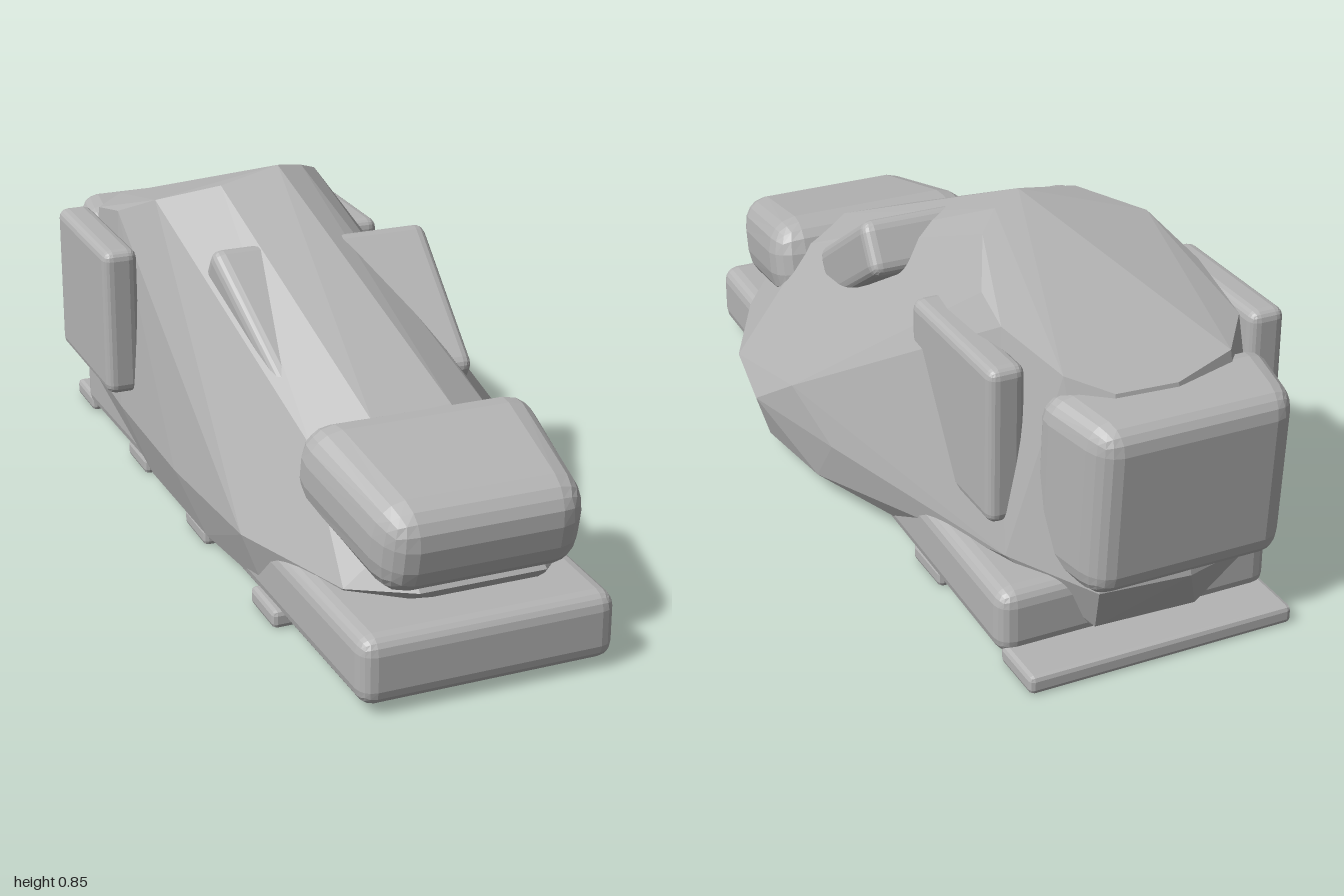
import * as THREE from 'three';
import { RoundedBoxGeometry } from 'three/addons/geometries/RoundedBoxGeometry.js';
import { ConvexGeometry } from 'three/addons/geometries/ConvexGeometry.js';

const grey = new THREE.MeshStandardMaterial({ color: 0xb4b4b4, flatShading: true });
grey.name = 'plain grey';

// Rounded block; taper = x scale at the front (+z) and back (-z) ends
function block(name, size, position, radius, { tilt = 0, front = 1, back = 1, segments = 2 } = {}) {
  const [w, h, d] = size;
  const geometry = new RoundedBoxGeometry(w, h, d, segments, radius);
  const p = geometry.attributes.position;
  for (let i = 0; i < p.count; i++) {
    const t = p.getZ(i) / d + 0.5;
    p.setX(i, p.getX(i) * THREE.MathUtils.lerp(back, front, t));
  }
  geometry.computeVertexNormals();
  const mesh = new THREE.Mesh(geometry, grey);
  mesh.name = name;
  mesh.position.set(...position);
  mesh.rotation.x = tilt;
  return mesh;
}

function createUpper() {
  // Sloping ankle rim
  const collar = [
    [-0.02, 0.85, -0.26], [-0.18, 0.82, -0.24], [-0.32, 0.77, -0.34], [-0.37, 0.70, -0.5],
    [-0.36, 0.65, -0.7], [-0.26, 0.64, -0.83], [-0.1, 0.62, -0.88], [0.05, 0.62, -0.87],
    [0.14, 0.65, -0.8], [0.2, 0.70, -0.62], [0.19, 0.73, -0.5], [0.12, 0.80, -0.36], [0.06, 0.83, -0.3],
  ];
  // Widest outline of the foot
  const girth = [
    [0.17, 0.21, 0.88], [0.3, 0.18, 0.73], [0.42, 0.16, 0.5], [0.465, 0.16, 0.25], [0.43, 0.27, 0.08],
    [0.4, 0.18, -0.1], [0.31, 0.22, -0.45], [0.25, 0.2, -0.75], [0.12, 0.18, -0.95], [-0.1, 0.18, -0.97],
    [-0.28, 0.18, -0.92], [-0.39, 0.2, -0.78], [-0.41, 0.2, -0.4], [-0.4, 0.18, 0], [-0.375, 0.18, 0.4],
    [-0.27, 0.19, 0.76], [-0.14, 0.21, 0.88],
  ];
  // Underside outline
  const base = [
    [0.1, 0.06, 0.76], [0.25, 0.05, 0.68], [0.38, 0.05, 0.5], [0.43, 0.05, 0.25], [0.4, 0.05, 0],
    [0.32, 0.05, -0.2], [0.2, 0.06, -0.6], [0.1, 0.06, -0.9], [-0.15, 0.06, -0.91], [-0.32, 0.05, -0.75],
    [-0.36, 0.04, -0.3], [-0.355, 0.04, 0.1], [-0.33, 0.05, 0.42], [-0.2, 0.05, 0.68],
  ];
  // Toe box
  const toe = [
    [0.09, 0.49, 0.54], [-0.11, 0.48, 0.55], [0.21, 0.44, 0.5], [-0.24, 0.42, 0.5],
    [0.15, 0.33, 0.8], [-0.14, 0.33, 0.8],
  ];
  const points = [...collar, ...girth, ...base, ...toe].map((v) => new THREE.Vector3(...v));
  const mesh = new THREE.Mesh(new ConvexGeometry(points), grey);
  mesh.name = 'upper';
  return mesh;
}

export function createModel() {
  const group = new THREE.Group();
  group.name = 'shoe';

  group.add(createUpper());
  group.add(block('sole', [0.65, 0.165, 1.88], [-0.02, 0.103, 0.06], 0.04, { front: 0.945, back: 1.06 }));

  // Tread bars under the sole
  [0.475, 0.008, -0.455, -0.925].forEach((z, i) => {
    group.add(block('treadBar' + (i + 1), [0.665, 0.045, 0.15], [-0.022, 0.0225, z], 0.012, { segments: 1 }));
  });

  group.add(block('toeCap', [0.6, 0.225, 0.455], [0.01, 0.35, 0.7], 0.085, { tilt: 0.2, front: 0.8, back: 1 }));
  group.add(block('heelCounter', [0.58, 0.43, 0.24], [-0.09, 0.395, -0.875], 0.06,
    { tilt: -0.06, front: 1, back: 0.82 }));

  // Ankle pads on both sides
  for (const [name, x] of [['leftAnklePad', 0.235], ['rightAnklePad', -0.423]]) {
    group.add(block(name, [0.09, 0.385, 0.42], [x, 0.462, -0.52], 0.025));
  }

  // Tongue strip showing through the sides of the upper
  group.add(block('tongue', [0.57, 0.14, 0.46], [0, 0.555, 0.12], 0.03, { tilt: 0.56, front: 0.86, back: 1 }));

  return group;
}
